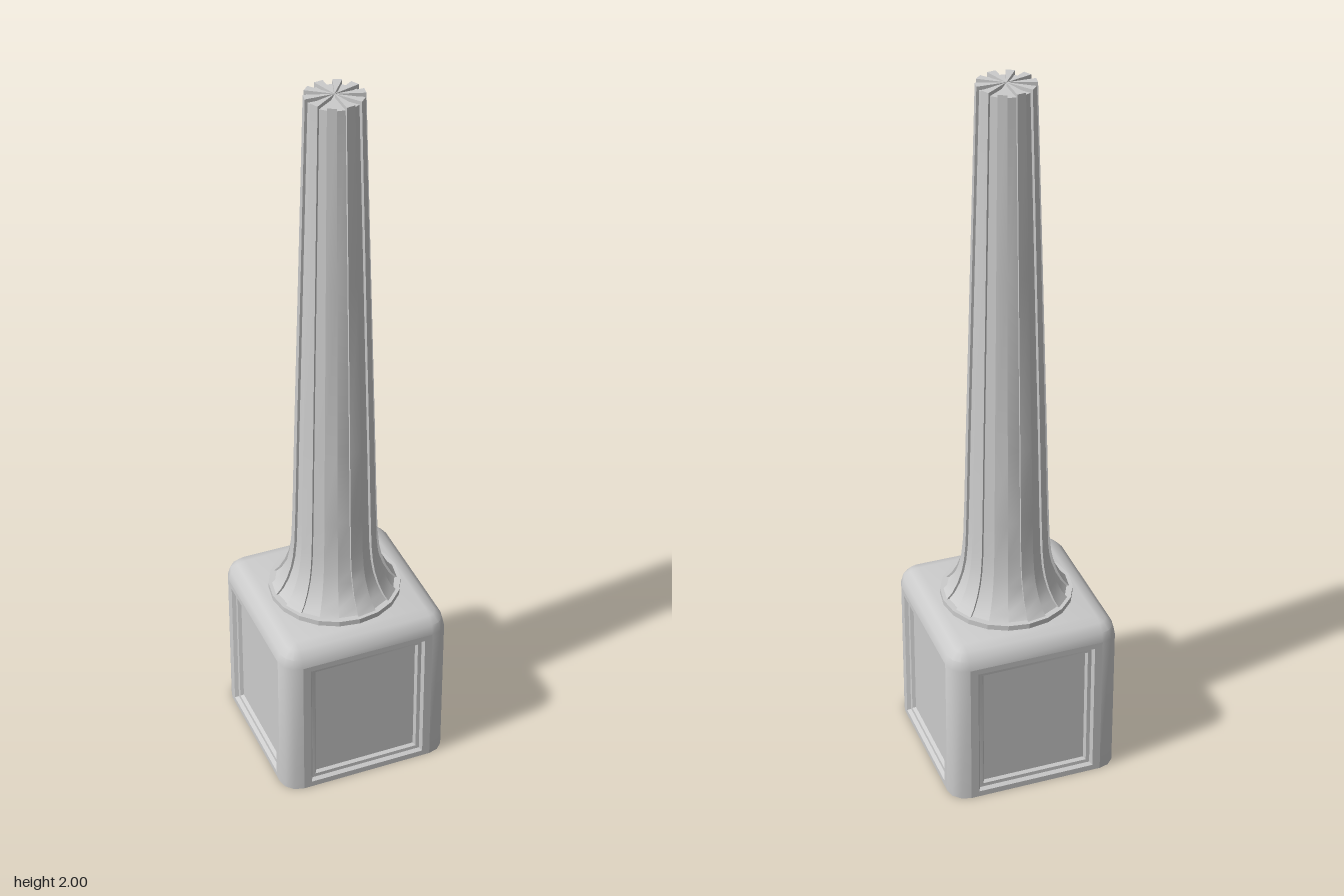
import * as THREE from 'three';
import { toCreasedNormals } from 'three/addons/utils/BufferGeometryUtils.js';

const material = new THREE.MeshStandardMaterial({ color: 0xcccccc });

// Skin closed rings of points (counter-clockwise from outside), optionally capping the ends
function loft(rings, { capEnd = false, capStart = false, crease = 0.6 } = {}, skip = () => false) {
  const pos = [];
  const area = new THREE.Triangle();
  const tri = (a, b, c) => {
    if (area.set(a, b, c).getArea() > 1e-9) for (const p of [a, b, c]) pos.push(p.x, p.y, p.z);
  };
  const n = rings[0].length;
  for (let i = 0; i < rings.length - 1; i++) {
    for (let j = 0; j < n; j++) {
      if (skip(i, j)) continue;
      const k = (j + 1) % n;
      const [a, b, c, d] = [rings[i][j], rings[i][k], rings[i + 1][k], rings[i + 1][j]];
      tri(a, b, c);
      tri(a, c, d);
    }
  }
  const first = rings[0], last = rings[rings.length - 1];
  for (let j = 1; j < n - 1; j++) {
    if (capEnd) tri(last[0], last[j], last[j + 1]);
    if (capStart) tri(first[0], first[j + 1], first[j]);
  }
  const geo = new THREE.BufferGeometry();
  geo.setAttribute('position', new THREE.Float32BufferAttribute(pos, 3));
  return toCreasedNormals(geo, crease);
}

function part(name, geo) {
  const mesh = new THREE.Mesh(geo, material);
  mesh.name = name;
  return mesh;
}

const HALF = 0.242, ROUND = 0.053, TOP = 0.488, SEG = 3;
const FLAT = HALF - ROUND;

// Rounded square outline of the pedestal at one height
function roundedSquare(r, y) {
  const pts = [];
  for (let q = 0; q < 4; q++) {
    const mid = (q + 0.5) * Math.PI / 2;
    const cx = Math.sign(Math.cos(mid)) * FLAT, cz = -Math.sign(Math.sin(mid)) * FLAT;
    for (let s = 0; s <= SEG; s++) {
      const a = (q + s / SEG) * Math.PI / 2;
      pts.push(new THREE.Vector3(cx + r * Math.cos(a), y, cz - r * Math.sin(a)));
    }
  }
  return pts;
}

function createPedestal() {
  const group = new THREE.Group();
  group.name = 'pedestal';

  // Rounded corners and top; the flat sides are left open for the panels
  const rings = [roundedSquare(ROUND, 0)];
  for (let s = 0; s <= SEG; s++) {
    const t = s / SEG * Math.PI / 2;
    rings.push(roundedSquare(ROUND * Math.cos(t), TOP - ROUND + ROUND * Math.sin(t)));
  }
  group.add(part('pedestalBlock', loft(rings, { capEnd: true, capStart: true },
    (i, j) => i === 0 && j % (SEG + 1) === SEG)));

  // Stepped frame and recessed panel on each side
  const rect = (w, y0, y1, z) => [[-w, y0], [w, y0], [w, y1], [-w, y1]]
    .map(([x, y]) => new THREE.Vector3(x, y, z));
  const panel = loft([
    rect(FLAT, 0, TOP - ROUND, HALF),
    rect(0.167, 0.017, 0.419, HALF),
    rect(0.161, 0.023, 0.413, HALF - 0.01),
    rect(0.151, 0.033, 0.403, HALF - 0.011),
    rect(0.146, 0.038, 0.398, HALF - 0.02),
  ], { capEnd: true, crease: 0.2 });
  ['front', 'left', 'back', 'right'].forEach((side, i) => {
    const mesh = part(side + 'Panel', panel);
    mesh.rotation.y = i * Math.PI / 2;
    group.add(mesh);
  });
  return group;
}

// Tapered shaft with alternating raised and sunken sectors
function createShaft() {
  const SECTORS = 20, STEP = 0.007, DROP = 0.01;
  const profile = [[0.172, 0.503], [0.157, 0.52], [0.141, 0.55], [0.129, 0.585],
    [0.122, 0.62], [0.117, 0.67], [0.113, 0.78], [0.107, 1.0], [0.092, 1.5], [0.077, 2], [0, 2]];
  const rings = profile.map(([r, y]) => {
    const pts = [];
    for (let k = 0; k < SECTORS; k++) {
      const sunk = k % 2 === 0;
      const radius = sunk ? Math.max(r - STEP, 0) : r;
      const height = sunk && y === 2 ? y - DROP : y;
      for (const e of [k, k + 1]) {
        const a = e / SECTORS * Math.PI * 2;
        pts.push(new THREE.Vector3(radius * Math.cos(a), height, -radius * Math.sin(a)));
      }
    }
    return pts;
  });
  return part('flutedShaft', loft(rings, { crease: 0.5 }));
}

export function createModel() {
  const model = new THREE.Group();
  model.name = 'post';
  model.add(createPedestal());

  // Thin collar under the shaft
  const collar = part('collar', toCreasedNormals(new THREE.CylinderGeometry(0.182, 0.182, 0.02, 20), 0.2));
  collar.position.y = 0.493;
  model.add(collar, createShaft());
  return model;
}
